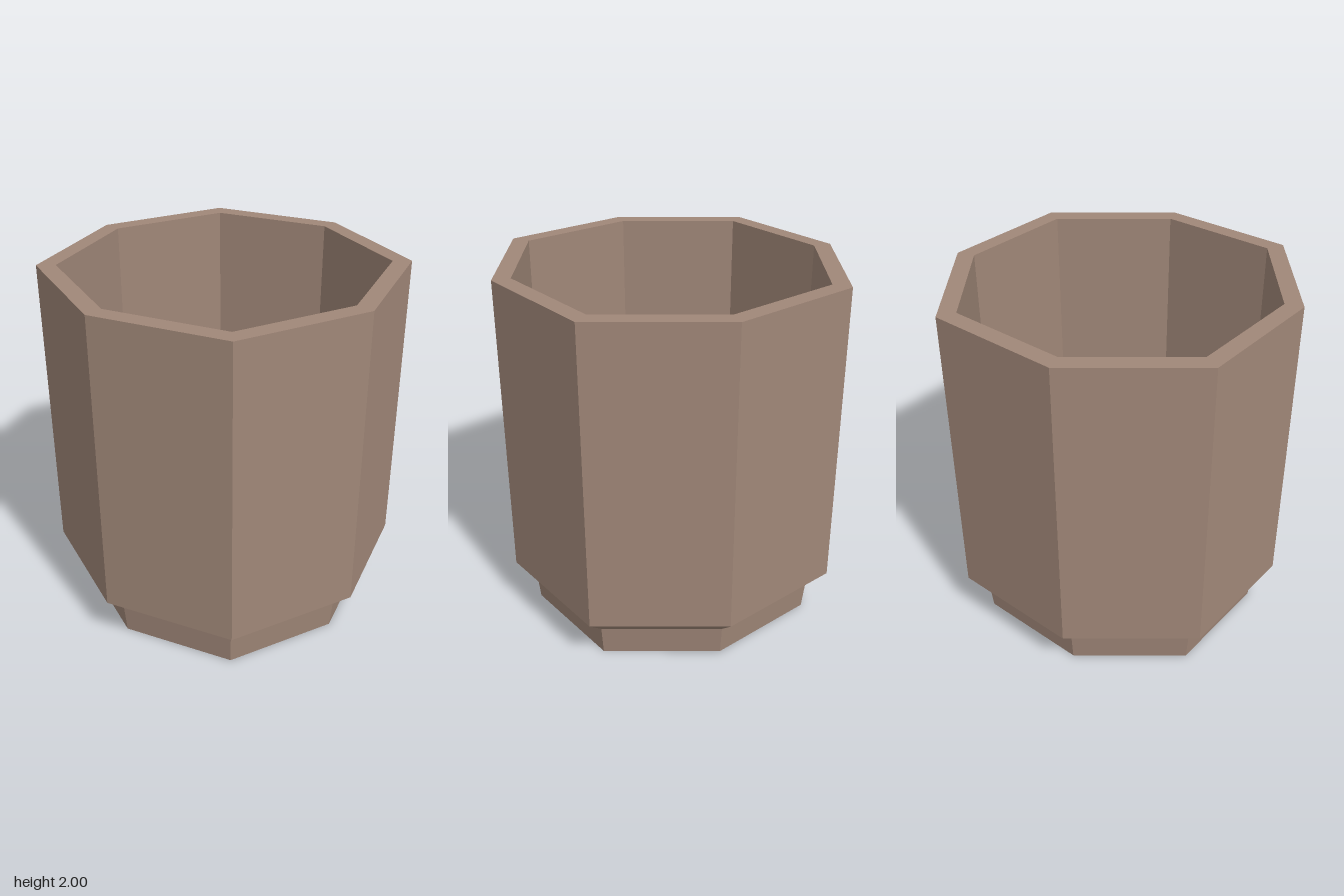
import * as THREE from 'three';

const SIDES = 8;
const DIAGONAL = 1.042; // the diagonal corners sit slightly further out

// Faceted eight-sided surface from [radius, height] points, with sharp edges
function octagonal(name, points, material) {
  const profile = points.map(([r, y]) => new THREE.Vector2(r, y));
  const lathe = new THREE.LatheGeometry(profile, SIDES);
  const pos = lathe.attributes.position;
  for (let i = 0; i < pos.count; i++) {
    const segment = Math.floor(i / profile.length);
    const k = segment % 2 ? DIAGONAL : 1;
    pos.setXYZ(i, pos.getX(i) * k, pos.getY(i), pos.getZ(i) * k);
  }
  const geometry = lathe.toNonIndexed();
  geometry.computeVertexNormals();
  const mesh = new THREE.Mesh(geometry, material);
  mesh.name = name;
  return mesh;
}

export function createModel() {
  const clay = new THREE.MeshStandardMaterial({ color: 0xa08778 });
  clay.name = 'clay brown';

  const group = new THREE.Group();
  group.name = 'planterPot';

  // Closed base with slightly flared sides
  group.add(octagonal('foot', [[0, 0], [0.828, 0], [0.845, 0.17]], clay));
  // Chamfer and tall outer wall
  group.add(octagonal('outerWall', [[0.845, 0.17], [0.96, 0.275], [0.956, 2]], clay));
  // Flat top edge
  group.add(octagonal('rim', [[0.956, 2], [0.856, 2]], clay));
  // Hollow inside with a chamfer down to the floor
  group.add(octagonal('innerWall', [[0.856, 2], [0.856, 0.31], [0.742, 0.2]], clay));
  group.add(octagonal('floor', [[0.742, 0.2], [0, 0.2]], clay));

  return group;
}
